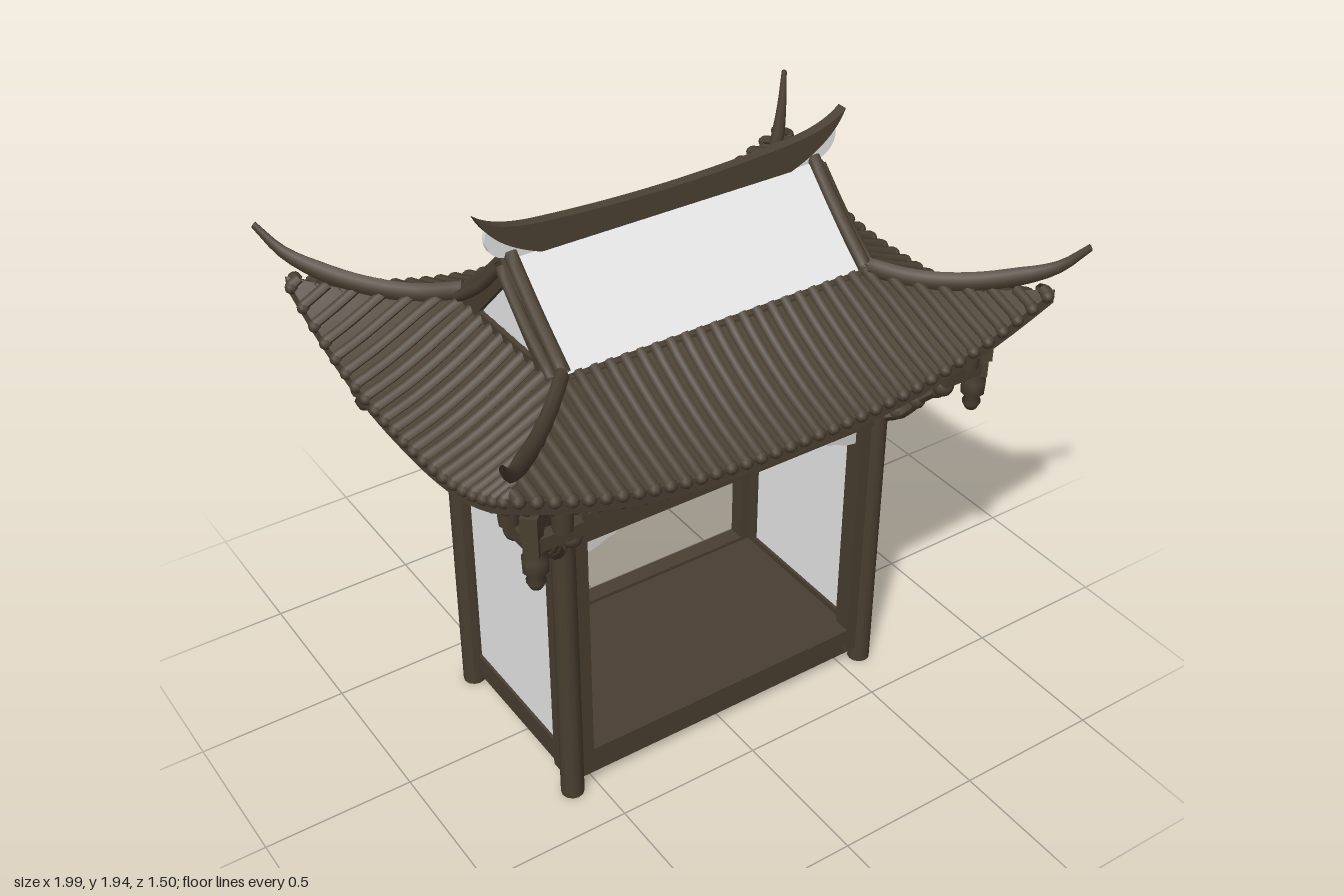
import * as THREE from 'three';
import { mergeGeometries, toCreasedNormals } from 'three/addons/utils/BufferGeometryUtils.js';

const V = (x, y, z) => new THREE.Vector3(x, y, z);
const signs = [-1, 1];
const RUN = 0.385; // horizontal run of the lower roof

// Tube whose thickness follows scale(u) and which can be stretched vertically
function taperTube(points, radius, scale = () => 1, stretch = 1, steps = 8, sides = 6) {
  const curve = new THREE.CatmullRomCurve3(points);
  const g = new THREE.TubeGeometry(curve, steps, radius, sides);
  const p = g.attributes.position;
  for (let i = 0; i < p.count; i++) {
    const u = Math.floor(i / (sides + 1)) / steps;
    const c = curve.getPointAt(u), k = scale(u);
    p.setXYZ(i, c.x + (p.getX(i) - c.x) * k, c.y + (p.getY(i) - c.y) * k * stretch, c.z + (p.getZ(i) - c.z) * k);
  }
  g.computeVertexNormals();
  return g;
}

// Point on a roof side: s runs down the slope, t from hip to hip
function roofPoint(a, b, s, t) {
  const q = Math.abs(t), push = 0.02 * s * q ** 3;
  const y = 1.53 - 0.2 * s * (1.4 - 0.4 * s) + 0.2 * s ** 1.1 * q ** 2.5;
  return V(t * (a + RUN * s + push), y, b + RUN * s + push);
}

// Thin closed shell of one roof side, lofted from cross-sections
function roofShell(a, b) {
  const pos = [], idx = [], n = 28, m = 10;
  for (let i = 0; i <= n; i++) {
    const t = -1 + 2 * i / n;
    const top = [0, 0.25, 0.5, 0.75, 1].map(s => roofPoint(a, b, s, t));
    const under = top.map(p => p.clone().add(V(0, -0.045, 0))).reverse();
    [...top, ...under].forEach(p => pos.push(p.x, p.y, p.z));
    for (let j = 0; j < m && i < n; j++) {
      const k = (j + 1) % m, A = i * m + j, B = i * m + k;
      idx.push(A, B, A + m, B, B + m, A + m);
    }
  }
  const g = new THREE.BufferGeometry();
  g.setAttribute('position', new THREE.Float32BufferAttribute(pos, 3));
  g.setIndex(idx);
  return toCreasedNormals(g, 0.6);
}

// Straight rows down the slope, cut at the hips
function roofRows(a, b, count, make) {
  const out = [], half = a + RUN;
  for (let i = 0; i < count; i++) {
    const x = half * (-1 + (2 * i + 1) / count);
    const s0 = Math.max(0, (Math.abs(x) - a) / RUN);
    const pts = [0, 0.25, 0.5, 0.75, 1].map(k => {
      const s = s0 + (1 - s0) * k;
      return { s, t: THREE.MathUtils.clamp(x / (a + RUN * s), -1, 1) };
    });
    out.push(...make(pts));
  }
  return mergeGeometries(out);
}

export function createModel() {
  const model = new THREE.Group();
  const mat = (name, color) => {
    const m = new THREE.MeshStandardMaterial({ color, side: THREE.DoubleSide });
    m.name = name;
    return m;
  };
  const wood = mat('dark wood', 0x493e30);
  const tile = mat('roof tile', 0x4c4134);
  const plaster = mat('pale panel', 0xffffff);
  const carving = mat('pale carving', 0xd6d3ce);

  const add = (name, geo, material, x = 0, y = 0, z = 0, parent = model) => {
    const m = new THREE.Mesh(geo, material);
    m.name = name;
    m.position.set(x, y, z);
    parent.add(m);
    return m;
  };
  // Box given by its bounds
  const box = (name, x0, x1, y0, y1, z0, z1, material = wood) =>
    add(name, new THREE.BoxGeometry(x1 - x0, y1 - y0, z1 - z0), material, (x0 + x1) / 2, (y0 + y1) / 2, (z0 + z1) / 2);

  // Floor
  box('floor', -0.58, 0.58, 0.04, 0.142, -0.325, 0.325);

  // Bracket: narrow foot, curved cup and three bearing blocks
  const cup = new THREE.Shape();
  cup.moveTo(-0.03, 0.035);
  cup.lineTo(0.03, 0.035);
  cup.quadraticCurveTo(0.07, 0.045, 0.072, 0.085);
  cup.lineTo(-0.072, 0.085);
  cup.quadraticCurveTo(-0.07, 0.045, -0.03, 0.035);
  const cupGeo = new THREE.ExtrudeGeometry(cup, { depth: 0.05, bevelEnabled: false });
  const bracket = (x, y, z, turn) => {
    const g = new THREE.Group();
    g.name = 'bracket';
    g.position.set(x, y, z);
    g.rotation.y = turn;
    add('bracketStem', new THREE.CylinderGeometry(0.032, 0.045, 0.045, 8), wood, 0, 0.022, 0, g);
    add('bracketCup', cupGeo, wood, 0, 0, -0.025, g);
    for (const i of [-1, 0, 1]) add('bracketBlock', new THREE.SphereGeometry(0.023, 8, 6), wood, i * 0.052, 0.1, 0, g);
    model.add(g);
  };

  // Carved corner piece, drawn in the positive x, negative y corner
  const leaf = new THREE.Shape();
  leaf.moveTo(0, 0);
  leaf.lineTo(0, -0.075);
  leaf.bezierCurveTo(-0.07, -0.07, -0.08, -0.04, -0.11, -0.045);
  leaf.quadraticCurveTo(-0.14, -0.03, -0.155, 0);
  const leafGeo = new THREE.ExtrudeGeometry(leaf, { depth: 0.009, bevelEnabled: false });

  // Front and back walls
  for (const sz of signs) {
    const z = sz * 0.31;
    box('longSill', -0.56, 0.56, 0.1, 0.155, z - 0.03, z + 0.03);
    box('lintel', -0.56, 0.56, 0.995, 1.095, z - 0.035, z + 0.035);
    box('friezePanel', -0.55, 0.55, 1.09, 1.455, z - 0.004, z + 0.004, plaster);
    box('topBeam', -0.82, 0.82, 1.245, 1.3, z - 0.03, z + 0.03);
    for (const x of [-0.2, 0.2]) bracket(x, 1.095, z, 0);
    for (const sx of signs) {
      add('lintelCarving', leafGeo, carving, sx * 0.515, 1, z - 0.004).scale.x = sx;
      const c = add('friezeCarving', leafGeo, carving, sx * 0.515, 1.247, z + sz * 0.015);
      c.scale.set(sx * 0.85, 0.6, 1);
    }
  }

  // Side walls
  for (const sx of signs) {
    const x = sx * 0.57;
    box('sideSill', x - 0.03, x + 0.03, 0.1, 0.165, -0.3, 0.3);
    box('sidePanel', x - 0.02, x + 0.02, 0.15, 0.98, -0.26, 0.26, plaster);
    box('sideBeam', x - 0.035, x + 0.035, 0.96, 1.09, -0.3, 0.3);
    box('sideFrieze', x - 0.006, x + 0.006, 1.08, 1.455, -0.29, 0.29, plaster);
    box('sideFriezePost', x - 0.025, x + 0.025, 1.08, 1.26, -0.025, 0.025);
    box('sideTopBeam', x - 0.03, x + 0.03, 1.25, 1.305, -0.56, 0.56);
    for (const sz of signs) {
      const c = add('sideCarving', leafGeo, carving, x + sx * 0.015, 1.252, sz * 0.26);
      c.rotation.y = -Math.PI / 2;
      c.scale.set(sz * 0.8, 0.6, 1);
    }
  }

  // Corners: column, frame posts, and the diagonal bracket with its hanging post
  const pendant = new THREE.LatheGeometry([[0, 0], [0.018, 0.005], [0.03, 0.03], [0.022, 0.05], [0.038, 0.065],
    [0.04, 0.11], [0.028, 0.125], [0.028, 0.36]].map(p => new THREE.Vector2(...p)), 10);
  for (const sx of signs) for (const sz of signs) {
    const cx = sx * 0.583, cz = sz * 0.322;
    add('column', new THREE.CylinderGeometry(0.036, 0.038, 1.44, 12), wood, cx, 0.72, cz);
    add('framePostLong', new THREE.BoxGeometry(0.06, 1.2, 0.06), wood, sx * 0.54, 0.66, sz * 0.31);
    add('framePostSide', new THREE.BoxGeometry(0.06, 1.2, 0.06), wood, sx * 0.57, 0.66, sz * 0.27);
    bracket(sx * 0.55, 1.12, sz * 0.335, 0);
    bracket(sx * 0.6, 1.12, sz * 0.3, Math.PI / 2);

    const corner = new THREE.Group();
    corner.name = 'cornerBracket';
    corner.position.set(cx, 0, cz);
    corner.rotation.y = Math.atan2(-sz, sx);
    model.add(corner);
    add('hangingPost', pendant, wood, 0.29, 1.075, 0, corner);
    add('diagonalArm', new THREE.BoxGeometry(0.34, 0.05, 0.045), wood, 0.16, 1.235, 0, corner);
    add('upperArm', new THREE.BoxGeometry(0.34, 0.08, 0.05), wood, 0.17, 1.31, 0, corner);
    add('hipRafter', taperTube([V(0, 1.44, 0), V(0.2, 1.43, 0), V(0.32, 1.435, 0), V(0.43, 1.465, 0)], 0.028, () => 1, 1, 8, 8), wood, 0, 0, 0, corner);
    add('strut', taperTube([V(0.02, 1.02, 0), V(0.08, 1.04, 0), V(0.13, 1.1, 0), V(0.19, 1.15, 0), V(0.24, 1.22, 0)], 0.026, () => 1, 1, 10, 8), wood, 0, 0, 0, corner);
    for (const k of [0.06, 0.12, 0.18]) add('strutScroll', new THREE.SphereGeometry(0.03, 10, 8), wood, k, 0.99 + k * 0.8, 0, corner);
    for (const k of [-1, 1]) {
      const arm = add('crossArm', new THREE.BoxGeometry(0.15, 0.045, 0.04), wood, 0.25, 1.24, k * 0.055, corner);
      arm.rotation.y = k * Math.PI / 4;
      add('armBlock', new THREE.SphereGeometry(0.034, 10, 8), wood, 0.2, 1.2, k * 0.08, corner);
      add('eaveBlock', new THREE.CylinderGeometry(0.04, 0.03, 0.14, 8), wood, 0.27, 1.345, k * 0.075, corner);
    }
  }

  // Lower roof: four tiled sides
  [[0, 0.53, 0.27, 36], [1, 0.27, 0.53, 22], [2, 0.53, 0.27, 36], [3, 0.27, 0.53, 22]].forEach(([turn, a, b, rows]) => {
    const side = new THREE.Group();
    side.name = 'roofSide';
    side.rotation.y = turn * Math.PI / 2;
    model.add(side);
    add('roofShell', roofShell(a, b), tile, 0, 0, 0, side);
    add('tileRows', roofRows(a, b, rows, pts => {
      const path = pts.map(({ s, t }) => roofPoint(a, b, s, t).add(V(0, 0.004, 0)));
      const e = path[4];
      return [taperTube(path, 0.0175), new THREE.SphereGeometry(0.021, 8, 6).translate(e.x, e.y - 0.006, e.z)];
    }), tile, 0, 0, 0, side);
    add('rafters', roofRows(a, b, Math.round(rows * 0.7), pts => {
      const path = pts.map(({ s, t }) => roofPoint(a, b, s * 0.94, t).add(V(0, -0.05, 0)));
      const e = path[4];
      return [taperTube(path, 0.013), new THREE.SphereGeometry(0.018, 8, 6).translate(e.x, e.y, e.z)];
    }), wood, 0, 0, 0, side);
  });

  // Upturned hip ridges
  for (const sx of signs) for (const sz of signs) {
    const path = [[0.54, 1.545, 0.28], [0.64, 1.52, 0.38], [0.74, 1.525, 0.48], [0.84, 1.555, 0.58], [0.93, 1.61, 0.68], [0.985, 1.69, 0.745]];
    add('hipRidge', taperTube(path.map(([x, y, z]) => V(sx * x, y, sz * z)), 0.022,
      u => (u < 0.65 ? 1 : 1 - (u - 0.65) * 1.7), 1.5, 18, 8), tile);
  }

  // Upper roof: pale slopes
  const slope = Math.atan2(0.26, 0.25);
  for (const sz of signs) {
    const m = add('upperSlope', new THREE.BoxGeometry(1.04, 0.012, 0.37), plaster, 0, 1.65, sz * 0.137);
    m.rotation.x = sz * slope;
    box('slopeFoot', -0.55, 0.55, 1.5, 1.53, sz * 0.272 - 0.012, sz * 0.272 + 0.012, tile);
  }

  // Gable ends: framed triangle with a pale infill and tiled edges
  const tri = (w, y0, y1) => [new THREE.Vector2(-w, y0), new THREE.Vector2(w, y0), new THREE.Vector2(0, y1)];
  const frame = new THREE.Shape(tri(0.275, 1.5, 1.79));
  frame.holes.push(new THREE.Path(tri(0.155, 1.54, 1.7)));
  const frameGeo = new THREE.ExtrudeGeometry(frame, { depth: 0.04, bevelEnabled: false }).rotateY(Math.PI / 2);
  const infill = new THREE.ShapeGeometry(new THREE.Shape(tri(0.2, 1.52, 1.72))).rotateY(Math.PI / 2);
  for (const sx of signs) {
    add('gableFrame', frameGeo, wood, sx * 0.54 - 0.02);
    add('gableInfill', infill, plaster, sx * 0.545);
    for (const sz of signs) {
      add('gableEdge', taperTube([V(sx * 0.53, 1.8, 0), V(sx * 0.53, 1.67, sz * 0.135), V(sx * 0.53, 1.55, sz * 0.275)], 0.022, () => 1, 1, 8, 8), tile);
      add('gableOuterEdge', taperTube([V(sx * 0.562, 1.765, 0), V(sx * 0.562, 1.64, sz * 0.13), V(sx * 0.562, 1.54, sz * 0.265)], 0.018, () => 1, 1, 8, 8), tile);
    }
  }

  // Main ridge with swept-up ends
  const ridge = new THREE.Shape();
  ridge.moveTo(-0.4, 1.77);
  ridge.lineTo(0.4, 1.77);
  ridge.quadraticCurveTo(0.59, 1.83, 0.635, 1.94);
  ridge.quadraticCurveTo(0.58, 1.89, 0.45, 1.877);
  ridge.quadraticCurveTo(0, 1.837, -0.45, 1.877);
  ridge.quadraticCurveTo(-0.58, 1.89, -0.635, 1.94);
  ridge.quadraticCurveTo(-0.59, 1.83, -0.4, 1.77);
  add('mainRidge', new THREE.ExtrudeGeometry(ridge, { depth: 0.036, bevelEnabled: false, curveSegments: 14 }), tile, 0, 0, -0.018);

  // Pale leaf ornaments tucked under the ridge ends
  const ornament = new THREE.Shape();
  ornament.moveTo(0.38, 1.78);
  ornament.lineTo(0.5, 1.84);
  ornament.lineTo(0.605, 1.89);
  ornament.quadraticCurveTo(0.62, 1.83, 0.57, 1.8);
  ornament.quadraticCurveTo(0.5, 1.77, 0.38, 1.78);
  const ornamentGeo = new THREE.ExtrudeGeometry(ornament, { depth: 0.016, bevelEnabled: false });
  for (const sx of signs) add('ridgeOrnament', ornamentGeo, plaster, 0, 0, -0.008).scale.x = sx;

  return model;
}
